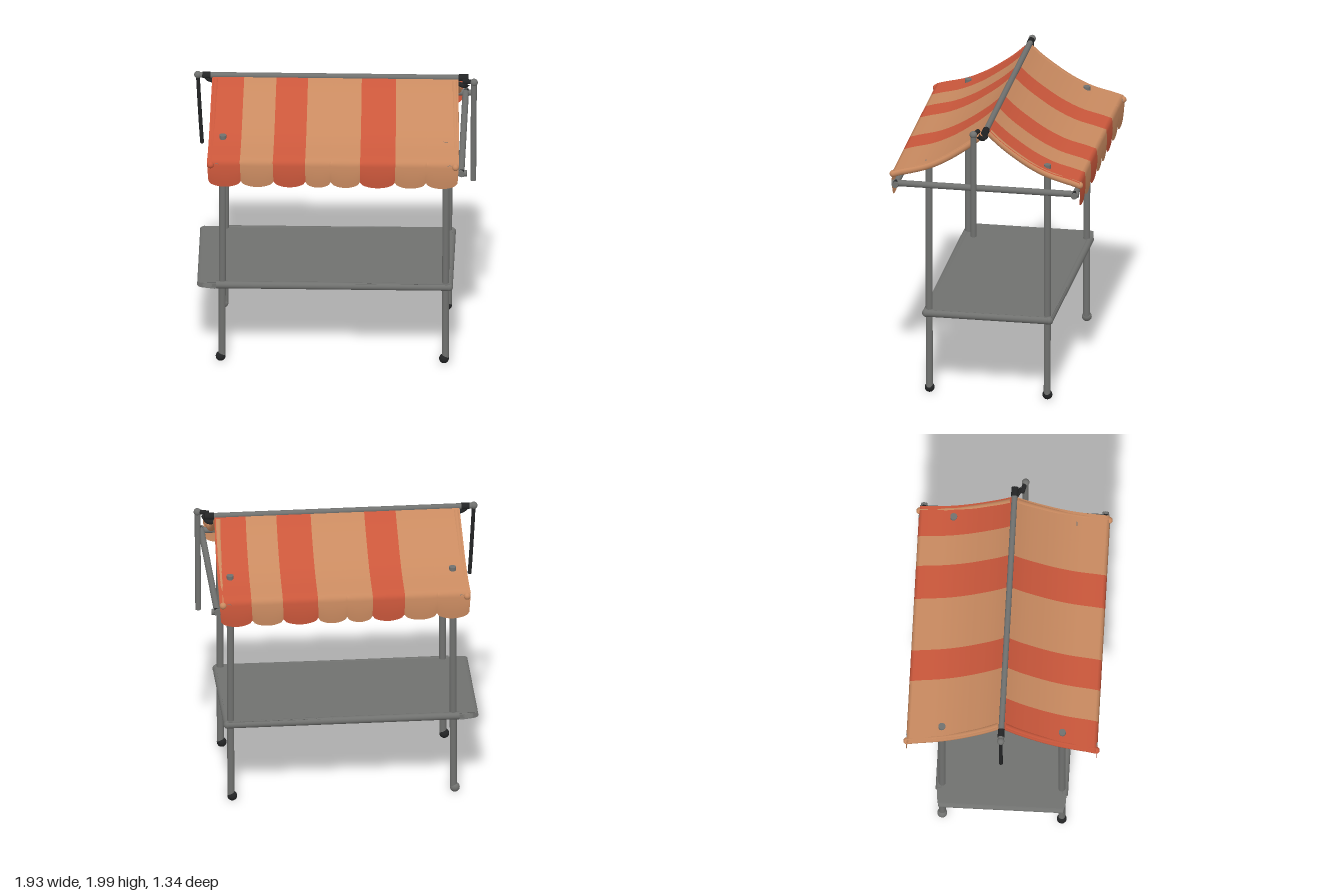
import * as THREE from 'three';

const V = (x, y, z) => new THREE.Vector3(x, y, z);
const mat = (name, color, side = THREE.FrontSide) => {
  const m = new THREE.MeshStandardMaterial({ color, side });
  m.name = name;
  return m;
};

export function createModel() {
  const steel = mat('grey steel', 0x70716f);
  const dark = mat('black rubber', 0x232425);
  const tan = mat('tan cloth', 0xc98a60, THREE.DoubleSide);
  const red = mat('red cloth', 0xca573b, THREE.DoubleSide);
  const stall = new THREE.Group();
  stall.name = 'marketStall';

  const add = (name, geo, material) => {
    const m = new THREE.Mesh(geo, material);
    m.name = name;
    stall.add(m);
    return m;
  };
  // Straight round bar between two points
  const bar = (name, a, b, r, material = steel) => {
    const m = add(name, new THREE.CylinderGeometry(r, r, a.distanceTo(b), 16), material);
    m.position.copy(a).lerp(b, 0.5);
    m.quaternion.setFromUnitVectors(V(0, 1, 0), b.clone().sub(a).normalize());
    return m;
  };
  const ball = (name, p, r, material = steel) => {
    add(name, new THREE.SphereGeometry(r, 16, 12), material).position.copy(p);
  };
  const tube = (name, pts, r, material) =>
    add(name, new THREE.TubeGeometry(new THREE.CatmullRomCurve3(pts), 24, r, 12), material);

  // Legs and feet
  for (const x of [-0.768, 0.752]) for (const s of [1, -1]) {
    const top = x > 0 && s > 0 ? 1.69 : 1.715;
    bar('leg', V(x - 0.003, 0.04, s * 0.407), V(x + 0.003, top, s * 0.41), 0.024);
    ball('foot', V(x - 0.012, 0.036, s * 0.407), 0.034, x < 0 && s < 0 ? steel : dark);
  }

  // Table: side profile with an open sleeve at one end
  const profile = new THREE.Shape();
  profile.moveTo(0.78, 0.612);
  profile.lineTo(-0.915, 0.606);
  profile.quadraticCurveTo(-0.94, 0.602, -0.94, 0.586);
  profile.quadraticCurveTo(-0.94, 0.57, -0.915, 0.566);
  profile.lineTo(-0.82, 0.56);
  profile.lineTo(-0.79, 0.572);
  profile.lineTo(0.78, 0.572);
  const slot = new THREE.Path();
  slot.absellipse(-0.87, 0.586, 0.038, 0.015, 0, Math.PI * 2, true);
  profile.holes.push(slot);
  const tableGeo = new THREE.ExtrudeGeometry(profile, { depth: 0.88, bevelEnabled: false, curveSegments: 10 });
  tableGeo.translate(0, 0, -0.44);
  const tp = tableGeo.attributes.position;
  for (let i = 0; i < tp.count; i++) {
    const k = Math.max(0, -0.86 - tp.getX(i));
    tp.setZ(i, tp.getZ(i) * (1 - k * 0.45));
  }
  tableGeo.computeVertexNormals();
  add('tableTop', tableGeo, steel);
  for (const s of [1, -1]) {
    bar('tableSideRail', V(-0.81, 0.586, s * 0.425), V(0.776, 0.586, s * 0.425), 0.026);
    ball('tableCorner', V(0.774, 0.586, s * 0.425), 0.028);
  }
  bar('tableEndRail', V(0.774, 0.586, -0.425), V(0.774, 0.586, 0.425), 0.026);

  // Awning: sagging slope followed by a hanging valance
  const slope = new THREE.CatmullRomCurve3([
    V(0, 1.965, 0.015), V(0, 1.9, 0.085), V(0, 1.835, 0.17), V(0, 1.75, 0.3),
    V(0, 1.685, 0.44), V(0, 1.648, 0.58), V(0, 1.628, 0.645),
  ]);
  const slopeRows = 20, dropRows = 6, cols = 14;
  const edges = [-0.868, -0.645, -0.42, -0.2, -0.025, 0.175, 0.415, 0.63, 0.848];
  const strip = (x0, x1, s) => {
    const rows = slopeRows + dropRows;
    const geo = new THREE.PlaneGeometry(1, 1, cols, rows);
    const p = geo.attributes.position;
    for (let j = 0; j <= rows; j++) for (let i = 0; i <= cols; i++) {
      const u = s > 0 ? i / cols : 1 - i / cols;
      const t = Math.min(1, j / slopeRows), d = Math.max(0, j - slopeRows) / dropRows;
      const q = slope.getPoint(t);
      const hem = 1.482 - 0.043 * Math.sqrt(Math.sin(Math.PI * Math.min(1, Math.max(0, u))) + 1e-9);
      const y = q.y + (hem - q.y) * d;
      const x = (x0 + (x1 - x0) * u) * (0.975 + 0.025 * t - 0.012 * d);
      p.setXYZ(j * (cols + 1) + i, x, y, s * (q.z + 0.006 * Math.sin(Math.PI * d)));
    }
    geo.computeVertexNormals();
    return geo;
  };
  const redStrips = { 1: [0, 2, 5], '-1': [2, 5, 7] };
  for (const s of [1, -1]) {
    for (let k = 0; k < 8; k++) {
      add('awningStripe', strip(edges[k], edges[k + 1], s), redStrips[s].includes(k) ? red : tan);
    }
    // Padded cloth edges and the rafters beneath them
    for (const e of [-1, 1]) {
      const path = (x, drop) => slope.getPoints(8).map((q, i) =>
        V(e * x * (0.975 + 0.025 * i / 8) - 0.01, q.y - drop, s * q.z));
      tube('awningEdge', path(0.834, 0.024), 0.024, e < 0 && s > 0 ? red : tan);
      ball('awningEdgeEnd', path(0.834, 0.024)[8], 0.024, e < 0 && s > 0 ? red : tan);
      tube('rafter', path(0.795, 0.03), 0.02, steel);
    }
    // Eave rail with dark joint
    bar('eaveRail', V(-0.8, 1.548, s * 0.618), V(0.9, 1.548, s * 0.618), 0.021);
    ball('eaveJoint', V(0.865, 1.548, s * 0.618), 0.027, dark);
    ball('eaveRailEnd', V(-0.8, 1.548, s * 0.618), 0.021);
  }
  bar('endRail', V(0.862, 1.552, -0.645), V(0.862, 1.552, 0.645), 0.022);

  // Ridge pole with its end joints
  bar('ridgePole', V(-0.94, 1.966, 0), V(0.87, 1.966, 0), 0.02);
  ball('ridgeKnob', V(-0.946, 1.968, 0), 0.025);
  bar('ridgeCollar', V(-0.915, 1.966, 0), V(-0.86, 1.966, 0), 0.023, dark);
  tube('ridgeHook', [V(-0.9, 1.96, 0), V(-0.875, 1.935, 0), V(-0.84, 1.92, 0)], 0.014, dark);
  bar('ridgeCollar', V(0.83, 1.966, 0), V(0.895, 1.966, 0), 0.024, dark);
  tube('ridgeHook', [V(0.83, 1.92, 0), V(0.87, 1.915, 0.02), V(0.9, 1.95, 0.05)], 0.016, dark);
  bar('poleArm', V(0.86, 1.965, 0.05), V(0.935, 1.968, 0.068), 0.016, dark);

  // Hanging strap on one end, hanging pole on the other
  tube('hangingStrap', [V(-0.945, 1.96, 0), V(-0.937, 1.8, 0), V(-0.926, 1.6, 0), V(-0.917, 1.46, 0)], 0.013, dark);
  ball('strapEnd', V(-0.917, 1.46, 0), 0.014, dark);
  bar('hangingPole', V(0.93, 1.225, 0.07), V(0.935, 1.96, 0.07), 0.02);
  ball('hangingPoleKnob', V(0.936, 1.966, 0.07), 0.026);

  return stall;
}
